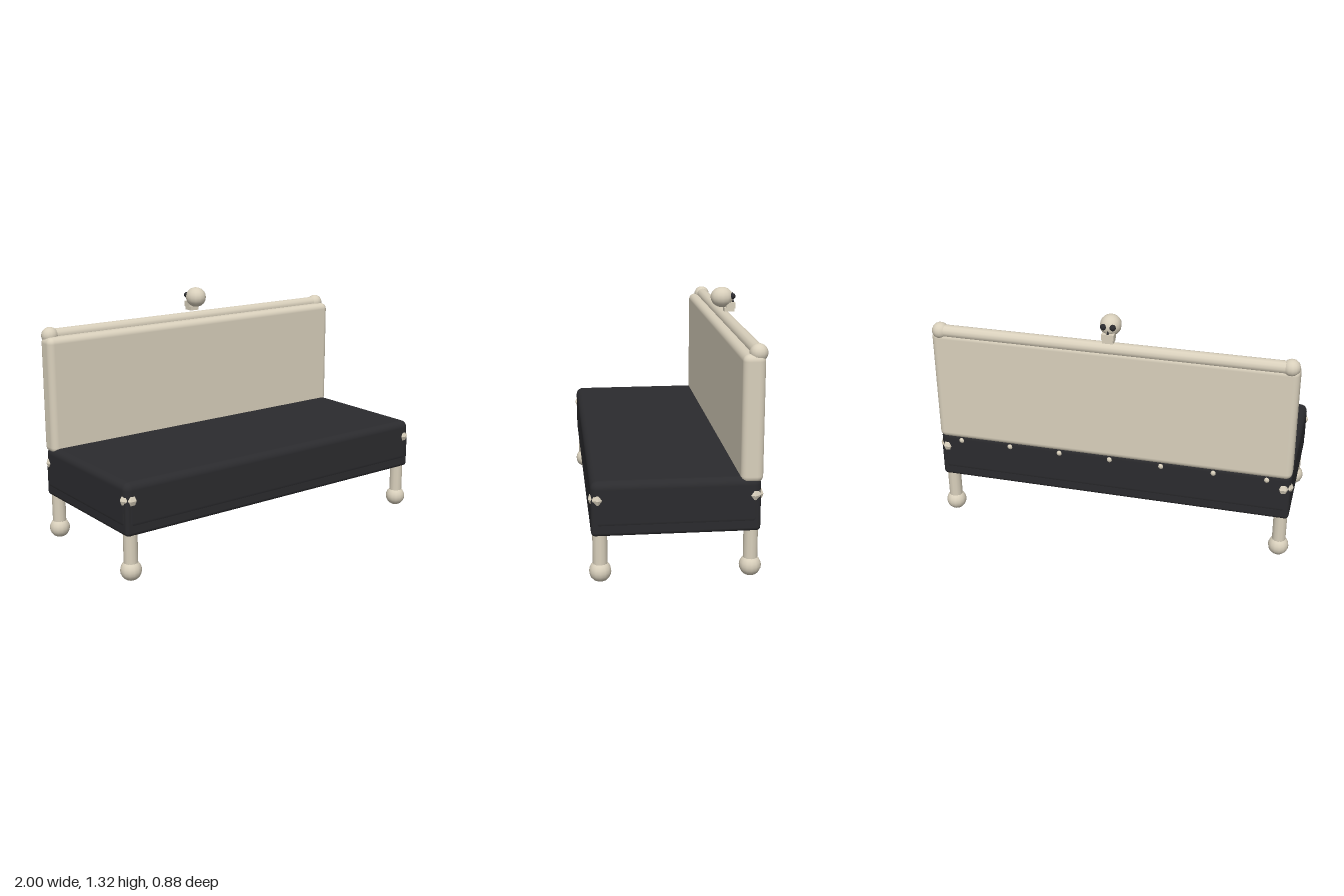
import * as THREE from 'three';
import { RoundedBoxGeometry } from 'three/addons/geometries/RoundedBoxGeometry.js';

const bone = new THREE.MeshStandardMaterial({ color: 0xd9d0bc });
const boneFaceted = new THREE.MeshStandardMaterial({ color: 0xd9d0bc, flatShading: true });
const dark = new THREE.MeshStandardMaterial({ color: 0x2b2b2e });

export function createModel() {
  const model = new THREE.Group();

  const add = (name, geometry, material, x, y, z, parent = model) => {
    const mesh = new THREE.Mesh(geometry, material);
    mesh.name = name;
    mesh.position.set(x, y, z);
    parent.add(mesh);
    return mesh;
  };
  const ball = (r, w = 14, h = 10) => new THREE.SphereGeometry(r, w, h);

  // Upholstered seat: tight lower edge, softer top edge
  add('seatBase', new RoundedBoxGeometry(1.976, 0.2, 0.842, 2, 0.02), dark, 0, 0.35, 0.007);
  add('seatCushion', new RoundedBoxGeometry(1.98, 0.25, 0.846, 3, 0.04), dark, 0, 0.405, 0.007);

  // Backrest panel
  add('backrest', new RoundedBoxGeometry(1.98, 0.645, 0.113, 3, 0.035), bone, 0, 0.82, -0.368);

  // Top rail with a knob at each end
  const rail = add('topRail', new THREE.CylinderGeometry(0.035, 0.035, 1.88, 12), bone, 0, 1.145, -0.393);
  rail.rotation.z = Math.PI / 2;

  for (const s of [-1, 1]) {
    add('railKnob', ball(0.046), bone, s * 0.943, 1.145, -0.391);

    for (const front of [true, false]) {
      // Leg and ball foot
      const z = front ? 0.384 : -0.371;
      add('leg', new THREE.CylinderGeometry(0.037, 0.037, 0.24, 12), bone, s * 0.943, 0.19, z);
      add('foot', ball(0.056), bone, s * 0.943, 0.057, z);

      // Pair of faceted knuckles wrapping each seat corner
      const d = front ? 1 : -1, shift = front ? 0 : 0.012;
      add('cornerKnuckle', ball(0.033, 6, 4), boneFaceted, s * 0.969, 0.438, d * 0.393 + shift);
      add('cornerKnuckle', ball(0.033, 6, 4), boneFaceted, s * 0.95, 0.438, d * 0.41 + shift);
    }
  }

  // Row of studs under the backrest at the rear
  for (let i = 0; i < 7; i++) {
    add('stud', ball(0.018, 8, 6), bone, -0.86 + i * 0.287, 0.484, -0.407);
  }

  // Skull ornament facing backwards
  const skull = new THREE.Group();
  skull.name = 'skull';
  skull.position.set(0, 1.268, -0.366);
  model.add(skull);
  add('cranium', ball(0.057), bone, 0, 0, 0, skull).scale.set(1, 1, 1.12);
  add('upperJaw', new THREE.BoxGeometry(0.066, 0.032, 0.05), bone, 0, -0.044, -0.047, skull);
  add('lowerJaw', new THREE.BoxGeometry(0.056, 0.022, 0.056), bone, 0, -0.068, -0.04, skull);
  for (const s of [-1, 1]) {
    add('eyeSocket', ball(0.017, 10, 8), dark, s * 0.025, 0.008, -0.056, skull);
  }
  const nose = add('nose', new THREE.ConeGeometry(0.009, 0.024, 4), dark, 0, -0.018, -0.063, skull);
  nose.rotation.y = Math.PI / 4;

  return model;
}
